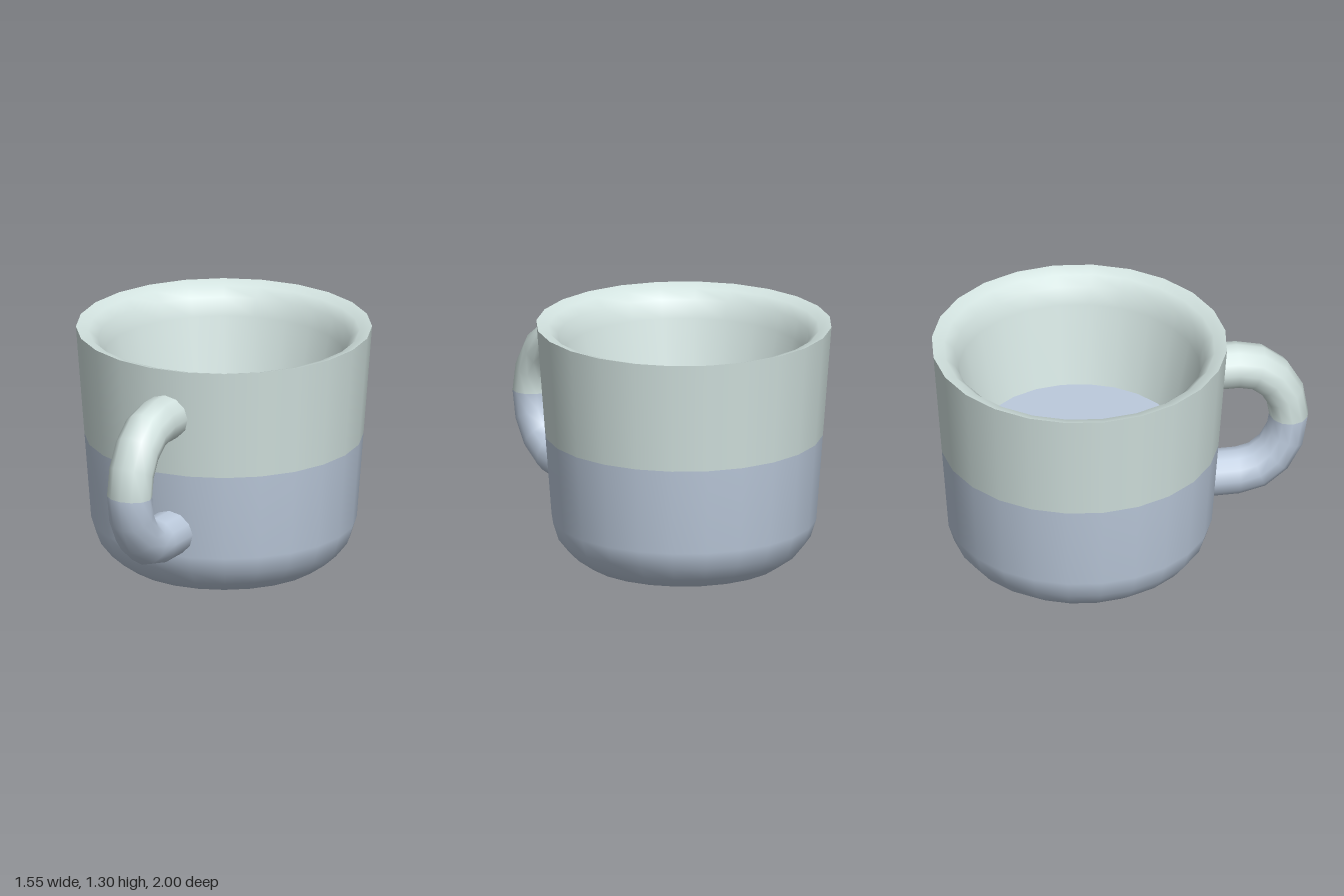
import * as THREE from 'three';

const SIDES = 24;     // facets around the cup
const SPLIT = 0.71;   // height where the two glazes meet
const CUP_Z = -0.23;

export function createModel() {
  const model = new THREE.Group();
  model.name = 'mug';

  const paleGlaze = new THREE.MeshStandardMaterial({ color: 0xd2e2df });
  paleGlaze.name = 'paleGlaze';
  const blueGlaze = new THREE.MeshStandardMaterial({ color: 0xbccadc });
  blueGlaze.name = 'blueGlaze';

  function add(parent, name, geometry, material) {
    const mesh = new THREE.Mesh(geometry, material);
    mesh.name = name;
    parent.add(mesh);
    return mesh;
  }

  // Profiles run so that the faces point away from the clay
  const lathe = (points) =>
    new THREE.LatheGeometry(points.map(([r, y]) => new THREE.Vector2(r, y)), SIDES);

  // Cup
  const cup = new THREE.Group();
  cup.name = 'cup';
  cup.position.z = CUP_Z;
  model.add(cup);

  const splitRadius = 0.695 + (0.775 - 0.695) * (SPLIT - 0.25) / (1.3 - 0.25);
  add(cup, 'lowerBody', lathe([
    [0, 0], [0.42, 0], [0.52, 0.02], [0.605, 0.08], [0.665, 0.155],
    [0.695, 0.25], [splitRadius, SPLIT],
  ]), blueGlaze);
  add(cup, 'upperBody', lathe([[splitRadius, SPLIT], [0.775, 1.3]]), paleGlaze);

  // Sloping lip and inner wall, down to the floor
  add(cup, 'lipAndInnerWall', lathe([
    [0.775, 1.3], [0.71, 1.28], [0.66, 1.235], [0.635, 1.14], [0.535, SPLIT],
  ]), paleGlaze);

  const floor = add(cup, 'innerFloor', new THREE.CircleGeometry(0.535, SIDES), blueGlaze);
  floor.rotation.x = -Math.PI / 2;
  floor.position.y = SPLIT;

  // Handle: two quarter bends with straight ends running into the cup
  const handle = new THREE.Group();
  handle.name = 'handle';
  handle.position.set(0.075, 0.705, 0);
  model.add(handle);

  const bendRadius = 0.327, tubeRadius = 0.123, bendZ = 0.62, endZ = 0.42;
  for (const [label, side, material] of [['upper', 1, paleGlaze], ['lower', -1, blueGlaze]]) {
    const bend = new THREE.TorusGeometry(bendRadius, tubeRadius, 12, 4, Math.PI / 2);
    if (side < 0) bend.rotateZ(-Math.PI / 2);
    bend.scale(0.84, 1, 1);
    bend.rotateY(-Math.PI / 2);
    bend.translate(0, 0, bendZ);
    add(handle, label + 'HandleBend', bend, material);

    const end = new THREE.CylinderGeometry(tubeRadius, tubeRadius, bendZ - endZ, 12, 1, true);
    end.rotateX(Math.PI / 2);
    end.translate(0, side * bendRadius, (bendZ + endZ) / 2);
    add(handle, label + 'HandleEnd', end, material);
  }

  return model;
}
